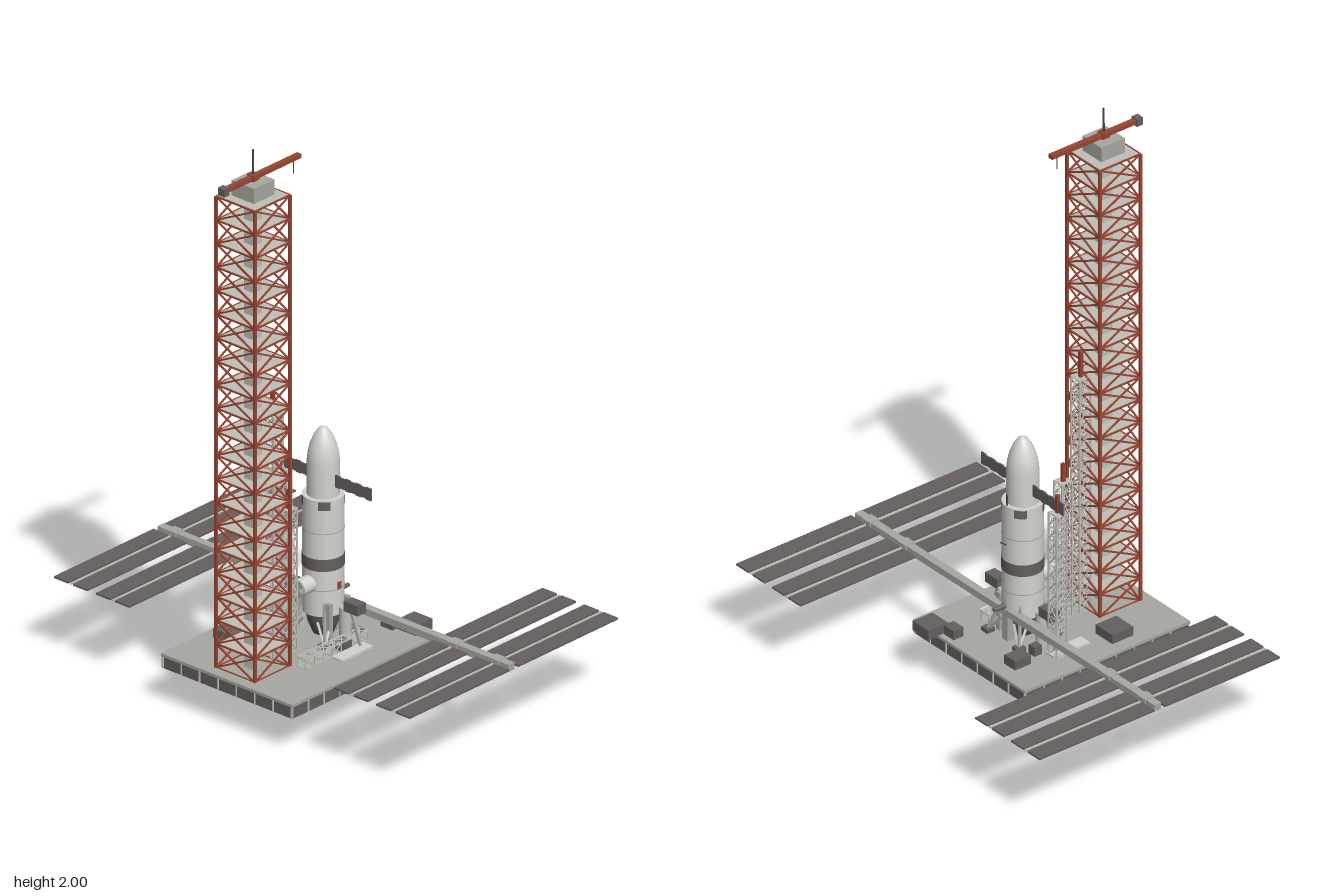
import * as THREE from 'three';
import { mergeGeometries } from 'three/addons/utils/BufferGeometryUtils.js';

const material = (name, color) => {
  const m = new THREE.MeshStandardMaterial({ color });
  m.name = name;
  return m;
};
const HULL = material('hull white', 0xd2d2ce);
const GREY = material('deck grey', 0xa8a8a2);
const DARK = material('panel grey', 0x665f5f);
const RED = material('girder red', 0x984632);
const STEEL = material('dark steel', 0x454548);
const PALE = material('lattice grey', 0xbfbfba);
const V = (x, y, z) => new THREE.Vector3(x, y, z);
const UP = V(0, 1, 0);

export function createModel() {
  const root = new THREE.Group();
  const add = (name, geo, mat, x = 0, y = 0, z = 0, parent = root) => {
    const m = new THREE.Mesh(geo, mat);
    m.name = name;
    m.position.set(x, y, z);
    parent.add(m);
    return m;
  };
  // box given by its extents on each axis
  const block = (name, mat, x0, x1, y0, y1, z0, z1, parent = root) =>
    add(name, new THREE.BoxGeometry(x1 - x0, y1 - y0, z1 - z0), mat,
      (x0 + x1) / 2, (y0 + y1) / 2, (z0 + z1) / 2, parent);
  const cyl = (name, mat, r0, r1, h, x, y, z, n = 32) =>
    add(name, new THREE.CylinderGeometry(r1, r0, h, n), mat, x, y, z);
  // square bar between two points
  const bar = (a, b, t) => {
    const d = b.clone().sub(a);
    const g = new THREE.BoxGeometry(t, d.length(), t);
    g.applyQuaternion(new THREE.Quaternion().setFromUnitVectors(UP, d.normalize()));
    const c = a.clone().add(b).multiplyScalar(0.5);
    return g.translate(c.x, c.y, c.z);
  };
  const bars = (name, list, t, mat) =>
    add(name, mergeGeometries(list.map(([a, b]) => bar(a, b, t))), mat);
  // upright four-legged lattice, base centred on the origin
  const lattice = (name, w, d, h, bays, leg, brace, mat) => {
    const parts = [];
    const c = [[-w / 2, -d / 2], [w / 2, -d / 2], [w / 2, d / 2], [-w / 2, d / 2]];
    for (let i = 0; i < 4; i++) {
      const [ax, az] = c[i], [bx, bz] = c[(i + 1) % 4];
      parts.push(bar(V(ax, 0, az), V(ax, h, az), leg));
      for (let k = 0; k <= bays; k++) {
        const y = (h * k) / bays, y2 = (h * (k + 1)) / bays;
        parts.push(bar(V(ax, y, az), V(bx, y, bz), brace));
        if (k === bays) continue;
        parts.push(bar(V(ax, y, az), V(bx, y2, bz), brace), bar(V(bx, y, bz), V(ax, y2, az), brace));
      }
    }
    return add(name, mergeGeometries(parts), mat);
  };

  // deck with panelled skirt
  block('deckSkirt', DARK, -0.485, 0.18, 0.13, 0.172, -0.277, 0.277);
  block('deckTop', GREY, -0.49, 0.185, 0.172, 0.182, -0.281, 0.281);
  for (const s of [-1, 1]) {
    for (let i = 0; i <= 9; i++)
      block('skirtRib', PALE, -0.487 + i * 0.0738, -0.483 + i * 0.0738, 0.132, 0.172, s * 0.279 - 0.002, s * 0.279 + 0.002);
    for (let i = 0; i <= 7; i++) {
      const x = s < 0 ? -0.487 : 0.182, z = -0.275 + i * 0.0786;
      block('skirtRib', PALE, x - 0.002, x + 0.002, 0.132, 0.172, z - 0.002, z + 0.002);
    }
  }
  const lockers = [[-0.295, -0.21, -0.235, -0.15], [0.065, 0.13, -0.165, -0.11], [0.145, 0.225, 0.152, 0.232],
    [0, 0.03, -0.14, -0.11], [0.125, 0.165, 0.1, 0.15], [-0.1, -0.06, 0.11, 0.145]];
  for (const [x0, x1, z0, z1] of lockers) block('deckLocker', DARK, x0, x1, 0.18, 0.215, z0, z1);
  for (const s of [-1, 1]) block('servicePad', HULL, -0.155, -0.01, 0.182, 0.19, s * 0.167 - 0.022, s * 0.167 + 0.022);

  // main red tower with core column and floors
  const TX = -0.365;
  lattice('mainTower', 0.165, 0.165, 1.655, 20, 0.009, 0.005, RED).position.set(TX, 0.182, 0);
  block('towerCore', PALE, TX - 0.02, TX + 0.02, 0.18, 1.84, -0.02, 0.02);
  for (let i = 1; i <= 20; i++) {
    const y = 0.182 + i * 0.08275;
    block('towerFloor', PALE, TX - 0.079, TX + 0.079, y - 0.002, y + 0.002, -0.079, 0.079);
  }
  block('towerCap', GREY, TX - 0.048, TX + 0.048, 1.84, 1.893, -0.048, 0.048);
  // crane on the tower
  block('craneJib', RED, -0.495, -0.148, 1.895, 1.91, -0.009, 0.009);
  block('craneCounterweight', DARK, -0.515, -0.49, 1.888, 1.915, -0.014, 0.014);
  block('cranePivot', RED, TX - 0.014, TX + 0.014, 1.89, 1.914, -0.014, 0.014);
  cyl('craneMast', STEEL, 0.004, 0.003, 0.1, TX, 1.95, 0, 8);
  cyl('craneCable', STEEL, 0.0015, 0.0015, 0.05, -0.175, 1.873, 0, 6);

  // pale service lattices with red masts: x, z, width, top, mast top
  for (const [x, z, w, top, tip] of [[-0.272, 0, 0.044, 1.04, 1.135], [-0.2, 0, 0.04, 0.68, 0.745], [-0.035, -0.175, 0.04, 0.71, 0.775]]) {
    lattice('serviceTower', w, w, top - 0.182, Math.round((top - 0.182) / 0.05), 0.005, 0.0028, PALE).position.set(x, 0.182, z);
    block('serviceTowerTop', PALE, x - w / 2, x + w / 2, top - 0.003, top, z - w / 2, z + w / 2);
    block('serviceMast', RED, x - 0.006, x + 0.006, top, tip, z - 0.006, z + 0.006);
  }
  const girder = lattice('deckGirder', 0.034, 0.036, 0.29, 7, 0.004, 0.003, PALE);
  girder.rotation.z = -Math.PI / 2;
  girder.position.set(-0.27, 0.2, 0.122);

  // rocket
  const RX = -0.035;
  const profile = [[0.012, 0.182], [0.034, 0.19], [0.05, 0.23], [0.058, 0.27]];
  add('rocketTail', new THREE.LatheGeometry(profile.map((p) => new THREE.Vector2(...p)), 40), DARK, RX);
  cyl('lowerStage', HULL, 0.068, 0.068, 0.16, RX, 0.35, 0, 40);
  cyl('interstageBand', DARK, 0.0685, 0.0685, 0.042, RX, 0.45, 0, 40);
  cyl('upperStage', HULL, 0.068, 0.068, 0.205, RX, 0.5735, 0, 40);
  const nose = [[0.053, 0.67], [0.053, 0.79], [0.05, 0.82], [0.043, 0.85], [0.031, 0.88], [0.017, 0.902], [0.008, 0.908], [0, 0.91]];
  add('fairing', new THREE.LatheGeometry(nose.map((p) => new THREE.Vector2(...p)), 40), HULL, RX);
  for (const y of [0.36, 0.56]) cyl('hullSeam', GREY, 0.0685, 0.0685, 0.003, RX, y, 0, 40);
  for (let i = 0; i < 4; i++)
    add('hullPatch', new THREE.CylinderGeometry(0.0687, 0.0687, 0.03, 8, 1, true, Math.PI / 4 * (2 * i + 1) - 0.3, 0.6), DARK, RX, 0.658, 0);
  block('frontHatch', RED, RX - 0.007, RX + 0.007, 0.36, 0.385, 0.066, 0.071);

  // side docking module
  const dock = cyl('dockingModule', HULL, 0.029, 0.029, 0.06, -0.13, 0.38, 0, 24);
  dock.rotation.z = Math.PI / 2;
  const rim = cyl('dockingRim', GREY, 0.031, 0.031, 0.006, -0.157, 0.38, 0, 24);
  rim.rotation.z = Math.PI / 2;
  // opposite side fittings
  bars('sideAntenna', [[V(0.03, 0.53, 0), V(0.055, 0.55, 0)], [V(0.03, 0.72, 0), V(0.025, 0.6, 0)]], 0.004, STEEL);
  const pod = cyl('sideThruster', DARK, 0.01, 0.006, 0.045, 0.062, 0.31, 0, 12);
  pod.rotation.z = -Math.PI / 2;

  // support legs
  const legs = [], pads = [];
  for (const sx of [-1, 1]) for (const sz of [-1, 1]) {
    legs.push([V(RX + sx * 0.044, 0.32, sz * 0.044), V(RX + sx * 0.08, 0.185, sz * 0.08)],
      [V(RX + sx * 0.06, 0.25, sz * 0.03), V(RX + sx * 0.08, 0.185, sz * 0.08)],
      [V(RX + sx * 0.03, 0.25, sz * 0.06), V(RX + sx * 0.08, 0.185, sz * 0.08)]);
    block('legPad', DARK, RX + sx * 0.078 - 0.016, RX + sx * 0.078 + 0.016, 0.182, 0.196, sz * 0.078 - 0.016, sz * 0.078 + 0.016);
  }
  bars('supportLegs', legs, 0.008, GREY);
  for (const s of [-1, 1]) {
    cyl('sideTank', PALE, 0.02, 0.02, 0.12, RX, 0.245, s * 0.095, 16);
    block('clampBox', DARK, RX - 0.02, RX + 0.02, 0.3, 0.335, s * 0.135 - 0.03, s * 0.135 + 0.03);
    block('holdPost', GREY, RX + s * 0.042 - 0.008, RX + s * 0.042 + 0.008, 0.182, 0.32, 0.055, 0.072);
    bars('clampStrut', [[V(RX, 0.3, s * 0.12), V(RX, 0.19, s * 0.16)]], 0.008, GREY);
    // folding wing of narrow cells
    for (let i = 0; i < 7; i++) {
      const z = s * (0.062 + i * 0.0222);
      block('wingCell', DARK, RX - 0.0025, RX + 0.0025, 0.712 + (i % 2) * 0.003, 0.755 - (i % 2) * 0.003, z - 0.0111, z + 0.0111);
    }
  }

  // long cross beam with solar panels
  block('crossBeam', GREY, 0.011, 0.039, 0.273, 0.297, -0.752, 0.752);
  for (const s of [-1, 1]) {
    for (const z of [0.51, 0.69]) {
      block('beamJoint', GREY, 0.006, 0.044, 0.276, 0.3, s * z - 0.02, s * z + 0.02);
      for (const [x0, x1] of [[-0.465, 0.004], [0.046, 0.515]]) {
        for (const o of [-0.041, 0.041])
          block('solarPanel', DARK, x0, x1, 0.281, 0.287, s * z + o - 0.031, s * z + o + 0.031);
        block('panelSpar', PALE, x0, x1, 0.281, 0.286, s * z - 0.003, s * z + 0.003);
      }
    }
  }
  block('beamMount', GREY, 0.012, 0.038, 0.18, 0.275, -0.014, 0.014);

  // engine under the deck
  cyl('engineBody', GREY, 0.024, 0.034, 0.035, RX, 0.1135, 0, 24);
  cyl('engineChamber', DARK, 0.018, 0.022, 0.045, RX, 0.075, 0, 24);
  const bell = [[0.019, 0], [0.014, 0.018], [0.008, 0.038], [0.014, 0.055]];
  const bellMat = STEEL.clone();
  bellMat.name = 'bell steel';
  bellMat.side = THREE.DoubleSide;
  add('engineBell', new THREE.LatheGeometry(bell.map((p) => new THREE.Vector2(...p)), 24), bellMat, RX);

  // girders and boxes hung below the deck
  const under = lattice('underGirderAcross', 0.026, 0.026, 0.25, 7, 0.004, 0.003, PALE);
  under.rotation.z = -Math.PI / 2;
  under.position.set(-0.145, 0.115, 0);
  const aft = lattice('underGirderBack', 0.034, 0.036, 0.16, 5, 0.004, 0.003, PALE);
  aft.rotation.x = -Math.PI / 2;
  aft.position.set(RX, 0.1, -0.03);
  block('underBeacon', RED, RX - 0.018, RX + 0.018, 0.09, 0.13, -0.192, -0.172);
  for (const [x, z] of [[0.09, 0], [-0.125, 0], [RX, 0.115], [0.085, 0.115]])
    block('underBox', DARK, x - 0.022, x + 0.022, 0.1, 0.131, z - 0.022, z + 0.022);
  return root;
}
